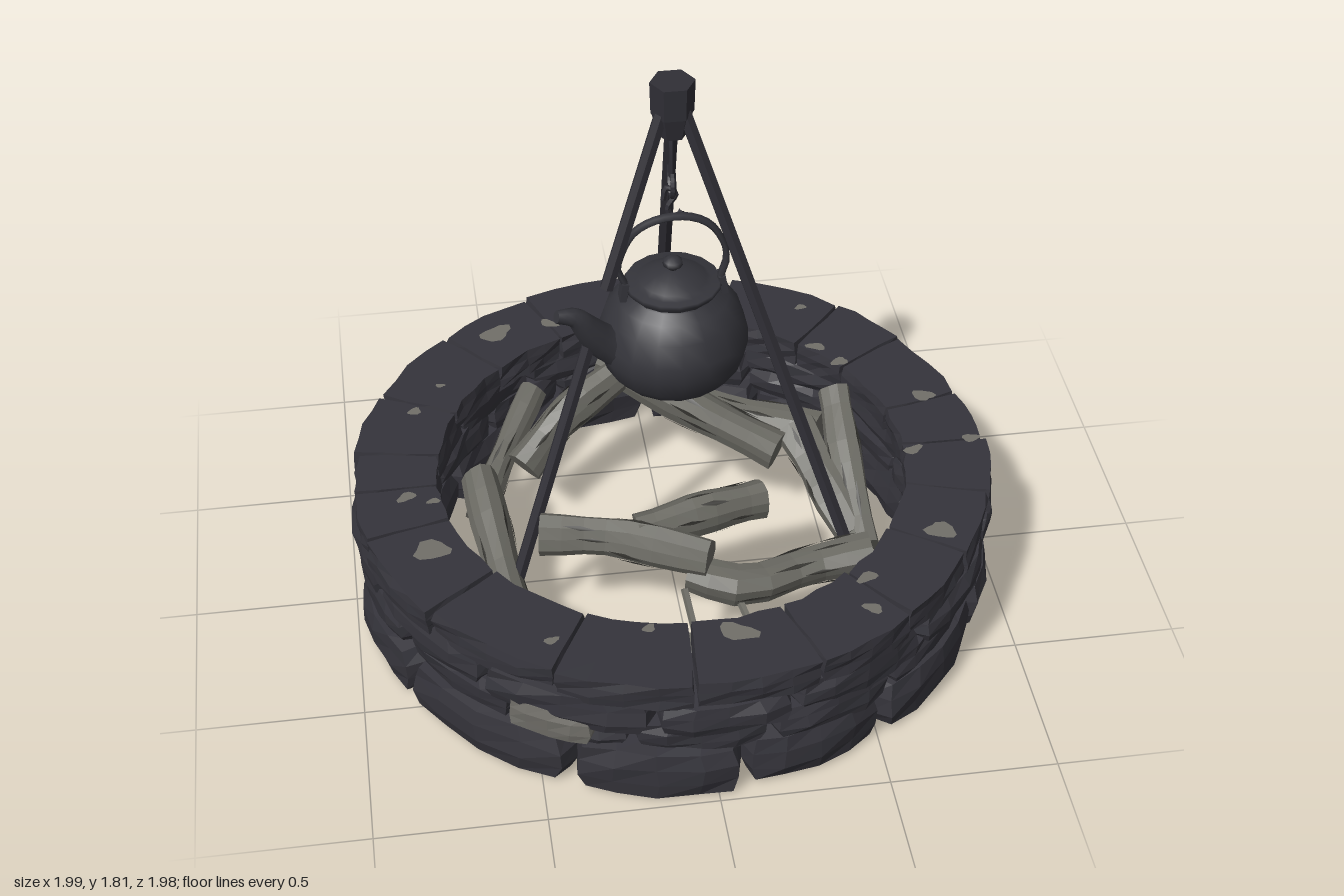
import * as THREE from 'three';

const mat = (name, color, extra = {}) => {
  const m = new THREE.MeshStandardMaterial({ color, ...extra });
  m.name = name;
  return m;
};
const rad = THREE.MathUtils.degToRad;
const V = (a) => new THREE.Vector3(...a);

// repeatable noise in -1..1 from a position and a seed
function noise(x, y, z, s) {
  const h = Math.sin(Math.round(x * 50) * 12.99 + Math.round(y * 50) * 78.23 + Math.round(z * 50) * 37.72 + s * 4.17) * 43758.5;
  return (h - Math.floor(h)) * 2 - 1;
}

// place a local (x, along, z) offset on a curve
function onCurve(curve, t, x, z) {
  const tan = curve.getTangent(t);
  const side = new THREE.Vector3(0, 1, 0).cross(tan).normalize();
  const other = side.clone().cross(tan);
  return curve.getPoint(t).addScaledVector(side, x).addScaledVector(other, z);
}

// closed cylinder swept along points; radius(t, angle) shapes it
function sweep(points, sides, steps, radius) {
  const curve = new THREE.CatmullRomCurve3(points.map(V));
  const g = new THREE.CylinderGeometry(1, 1, 1, sides, steps);
  const p = g.attributes.position;
  for (let i = 0; i < p.count; i++) {
    const t = THREE.MathUtils.clamp(p.getY(i) + 0.5, 0, 1);
    const r = radius(t, Math.atan2(p.getZ(i), p.getX(i)));
    const q = onCurve(curve, t, p.getX(i) * r, p.getZ(i) * r);
    p.setXYZ(i, q.x, q.y, q.z);
  }
  g.computeVertexNormals();
  return g;
}

// rough block bent to an arc of the ring
function stone(a0, a1, y0, y1, r0, r1, seed, round, rough, flatTop) {
  const g = new THREE.BoxGeometry(2, 2, 2, 4, 3, 3);
  const p = g.attributes.position;
  for (let i = 0; i < p.count; i++) {
    const u = p.getX(i), v = p.getY(i), w = p.getZ(i);
    const k = Math.pow(u ** 4 + v ** 4 + w ** 4, 0.25);
    const s = 1 / Math.pow(Math.max(1, k), round);
    const a = (a0 + a1) / 2 - (u * s * (a1 - a0)) / 2 + noise(u, v, w, seed) * rough * 0.6;
    const r = (r0 + r1) / 2 + (w * s * (r1 - r0)) / 2 + noise(v, w, u, seed + 5) * rough;
    let y = (y0 + y1) / 2 + (v * s * (y1 - y0)) / 2 + noise(w, u, v, seed + 9) * rough * 0.5;
    if (flatTop && v > 0.99) y = y1;
    p.setXYZ(i, Math.cos(a) * r, Math.max(0, y), Math.sin(a) * r);
  }
  g.computeVertexNormals();
  return g;
}

export function createModel() {
  const root = new THREE.Group();
  const stoneMat = mat('charcoal stone', 0x35343b, { flatShading: true });
  const paleMat = mat('pale lichen', 0x716f69, { flatShading: true, side: THREE.DoubleSide });
  const woodMat = mat('ashen wood', 0x6b6a63, { flatShading: true });
  const barkMat = mat('dark bark', 0x34332f, { side: THREE.DoubleSide });
  const ironMat = mat('black iron', 0x302f36, { flatShading: true });
  const kettleMat = mat('kettle iron', 0x34343a, { side: THREE.DoubleSide });
  const group = (name, parent = root) => {
    const g = new THREE.Group();
    g.name = name;
    parent.add(g);
    return g;
  };
  const add = (parent, name, geo, m) => {
    const mesh = new THREE.Mesh(geo, m);
    mesh.name = name;
    parent.add(mesh);
    return mesh;
  };

  // stone ring: three rough courses of rounded stones
  const ring = group('stoneRing');
  const courses = [
    { n: 12, y0: 0, y1: 0.19, r1: 0.985, turn: 58 },
    { n: 15, y0: 0.165, y1: 0.285, r1: 0.97, turn: 10 },
    { n: 13, y0: 0.25, y1: 0.38, r1: 0.985, turn: 21 },
  ];
  courses.forEach((c, j) => {
    const edge = (i) => rad(c.turn + (i * 360) / c.n) + (i % c.n ? noise(i, j, 0, 3) * 0.07 : 0);
    for (let i = 0; i < c.n; i++) {
      const out = c.r1 + noise(i, j, 2, 7) * 0.012;
      const top = c.y1 + noise(i, j, 4, 8) * 0.012;
      add(ring, 'wallStone', stone(edge(i) - 0.003, edge(i + 1) + 0.003, c.y0, top, 0.74, out, i + j * 20, 0.65, 0.008), stoneMat);
    }
  });
  // pale stones showing in the wall: angle range, heights, outer radius
  [[111, 127, 0.19, 0.31, 0.995], [-54, -48, 0.14, 0.19, 0.985], [230, 236, 0.17, 0.21, 0.98]].forEach(([a, b, y0, y1, r], i) =>
    add(ring, 'paleStone', stone(rad(a), rad(b), y0, y1, 0.85, r, i + 4, 0.6, 0.006), paleMat));

  // flat capping stones
  const cuts = [-88, -70, -47, -32, -12, 2, 17, 34, 53, 72, 94, 118, 144, 166, 179, 190, 207, 228, 248, 272];
  for (let i = 0; i + 1 < cuts.length; i++) {
    const out = 0.978 + noise(i, 1, 1, 2) * 0.01;
    add(ring, 'capStone', stone(rad(cuts[i]) + 0.003, rad(cuts[i + 1]) - 0.003, 0.36, 0.45, 0.72, out, i + 70, 0.12, 0.007, true), stoneMat);
  }

  // lichen flecks on the caps: x, z, length
  const flecks = [
    [-0.48, -0.72, 0.055], [-0.3, -0.75, 0.03], [0.23, -0.88, 0.025], [0.54, -0.72, 0.02], [0.55, -0.5, 0.03],
    [0.61, -0.41, 0.03], [0.84, -0.2, 0.038], [0.75, 0.06, 0.03], [0.94, 0.03, 0.028], [0.75, 0.44, 0.05],
    [0.49, 0.61, 0.032], [0.48, 0.74, 0.03], [-0.17, 0.73, 0.022], [0.08, 0.78, 0.055], [-0.45, 0.74, 0.022],
    [-0.76, 0.31, 0.06], [-0.82, 0.06, 0.03], [-0.74, 0.09, 0.02], [-0.77, -0.35, 0.024], [-0.68, -0.47, 0.015],
  ];
  flecks.forEach(([x, z, s], i) => {
    const g = new THREE.CircleGeometry(1, 12);
    const p = g.attributes.position;
    for (let k = 1; k < p.count; k++) {
      const a = ((k - 1) * Math.PI) / 6;
      const r = s * (1 + 0.18 * Math.sin(3 * a + i) + 0.12 * Math.sin(2 * a + i * 2));
      p.setXYZ(k, Math.cos(a) * r, Math.sin(a) * r * 0.65, 0);
    }
    const m = add(ring, 'lichenFleck', g, paleMat);
    m.rotation.set(-Math.PI / 2, 0, noise(i, 0, 0, 1) * 0.6);
    m.position.set(x, 0.453, z);
  });

  // logs: radius and path
  const logs = group('logs');
  const paths = [
    [0.043, [-0.6, 0.14, -0.17], [-0.5, 0.24, -0.35], [-0.38, 0.35, -0.54]],
    [0.058, [-0.44, 0.27, -0.25], [-0.3, 0.37, -0.36], [-0.11, 0.45, -0.46]],
    [0.063, [-0.15, 0.46, -0.53], [0.1, 0.38, -0.36], [0.37, 0.3, -0.18]],
    [0.06, [0.08, 0.22, -0.58], [0.28, 0.24, -0.45], [0.53, 0.26, -0.3]],
    [0.064, [0.44, 0.32, -0.25], [0.5, 0.25, -0.08], [0.57, 0.16, 0.1]],
    [0.053, [0.58, 0.41, -0.32], [0.58, 0.3, -0.12], [0.59, 0.15, 0.15]],
    [0.057, [-0.585, 0.33, -0.16], [-0.55, 0.24, 0.12], [-0.51, 0.15, 0.41]],
    [0.06, [-0.43, 0.41, 0.23], [-0.2, 0.41, 0.28], [0.06, 0.4, 0.4]],
    [0.06, [-0.14, 0.42, 0.28], [0.06, 0.45, 0.25], [0.25, 0.45, 0.21]],
    [0.06, [0.0, 0.32, 0.37], [0.16, 0.3, 0.43], [0.38, 0.3, 0.37], [0.56, 0.33, 0.37]],
    [0.058, [-0.47, 0.2, 0.48], [-0.08, 0.16, 0.54], [0.31, 0.12, 0.6]],
  ];
  paths.forEach(([r, ...pts], n) => {
    const log = group('log', logs);
    const shape = (t, a) => r * (1 + 0.12 * Math.sin(3 * a + n) + 0.08 * Math.sin(9 * t + n * 2));
    add(log, 'logBody', sweep(pts, 10, 7, shape), woodMat);
    // dark slivers of bark
    const curve = new THREE.CatmullRomCurve3(pts.map(V));
    for (let i = 0; i < 10; i++) {
      const t = 0.5 + noise(i, n, 0, 6) * 0.36;
      const a = ((i * 3) % 10) * (Math.PI / 5) + Math.PI / 2;
      const at = (dt, da) => {
        const q = shape(t + dt, a + da) * 1.05;
        return onCurve(curve, t + dt, Math.cos(a + da) * q, Math.sin(a + da) * q);
      };
      const g = new THREE.BufferGeometry().setFromPoints([at(-0.11, 0.08), at(0, 0.12), at(0.11, -0.05), at(0, -0.1)]);
      g.setIndex([0, 1, 2, 0, 2, 3]);
      g.computeVertexNormals();
      add(log, 'barkSliver', g, barkMat);
    }
  });
  // little twig stubs
  [[[0.0, 0.2, 0.5], [-0.02, 0.3, 0.42]], [[0.13, 0.28, 0.42], [0.16, 0.24, 0.52]]].forEach((p) =>
    add(logs, 'twig', sweep(p, 5, 1, () => 0.012), woodMat));

  // tripod; the spout side leg is in two lengths
  const tripod = group('tripod');
  [['tripodHead', 0.065, 0.062, 0.1, 1.76], ['tripodCollar', 0.06, 0.042, 0.075, 1.675]].forEach(([name, top, low, h, y]) => {
    const m = add(tripod, name, new THREE.CylinderGeometry(top, low, h, 6), ironMat);
    m.rotation.y = Math.PI / 6;
    m.position.set(0.005, y, -0.008);
  });
  const legs = [
    [[0.01, 1.72, -0.035], [0.04, 0.18, -0.64]],
    [[0.035, 1.72, 0.015], [0.54, 0.17, 0.255]],
    [[-0.03, 1.72, 0.015], [-0.2, 1.19, 0.085]],
    [[-0.25, 1.03, 0.1], [-0.5, 0.22, 0.205]],
  ];
  legs.forEach((p) => add(tripod, 'tripodLeg', sweep(p, 6, 1, () => 0.021), ironMat));

  // hanging rod and hooks
  const wire = (name, pts, r) =>
    add(tripod, name, new THREE.TubeGeometry(new THREE.CatmullRomCurve3(pts.map(V)), 16, r, 5), ironMat);
  wire('hangingRod', [[0, 1.66, 0], [0, 1.58, 0.005], [0, 1.5, 0]], 0.008);
  wire('upperHook', [[0, 1.53, 0.03], [0, 1.48, 0.045], [0, 1.44, 0.01], [0, 1.48, -0.03], [0, 1.52, -0.035]], 0.009);
  wire('lowerHook', [[-0.025, 1.43, 0.01], [-0.015, 1.47, 0.01], [0.012, 1.45, 0.01], [-0.012, 1.4, 0.01],
    [0.01, 1.36, 0.01], [0.03, 1.39, 0.01]], 0.009);

  // kettle
  const kettle = group('kettle');
  kettle.position.set(0.003, 0, 0.012);
  const lathe = (name, pts, seg) =>
    add(kettle, name, new THREE.LatheGeometry(pts.map(([x, y]) => new THREE.Vector2(x, y)), seg), kettleMat);
  lathe('kettleBody', [[0, 0.825], [0.165, 0.825], [0.172, 0.83], [0.205, 0.87], [0.224, 0.93], [0.222, 0.98],
    [0.2, 1.05], [0.165, 1.095], [0.13, 1.115], [0.125, 1.13]], 18);
  lathe('kettleLid', [[0.125, 1.115], [0.145, 1.14], [0.14, 1.148], [0.115, 1.147], [0.1, 1.158], [0.06, 1.178],
    [0.02, 1.187], [0, 1.188]], 16);
  lathe('lidKnob', [[0.012, 1.18], [0.014, 1.19], [0.03, 1.203], [0.028, 1.217], [0.014, 1.227], [0, 1.228]], 10);
  add(kettle, 'spout', sweep([[-0.15, 0.95, 0.045], [-0.215, 1.0, 0.07], [-0.265, 1.07, 0.095], [-0.3, 1.122, 0.11],
    [-0.355, 1.14, 0.125]], 10, 10, (t) => 0.076 - 0.057 * Math.pow(t, 0.7)), kettleMat);

  // flat strap handle with its lugs
  const arch = new THREE.CatmullRomCurve3([[-0.145, 1.11], [-0.14, 1.15], [-0.163, 1.21], [-0.15, 1.27], [-0.115, 1.335],
    [-0.05, 1.372], [0.04, 1.377], [0.105, 1.345], [0.145, 1.28], [0.155, 1.22], [0.138, 1.15], [0.15, 1.11]].map(([x, y]) => V([x, y, 0])));
  const strap = new THREE.TubeGeometry(arch, 28, 0.01, 6);
  strap.scale(1, 1, 1.7);
  add(kettle, 'handle', strap, kettleMat).position.z = 0.015;
  for (const s of [-1, 1]) {
    const lug = add(kettle, 'handleLug', new THREE.BoxGeometry(0.02, 0.06, 0.045), kettleMat);
    lug.position.set(s * 0.146, 1.135, 0.012);
    lug.rotation.z = s * 0.15;
  }
  return root;
}
